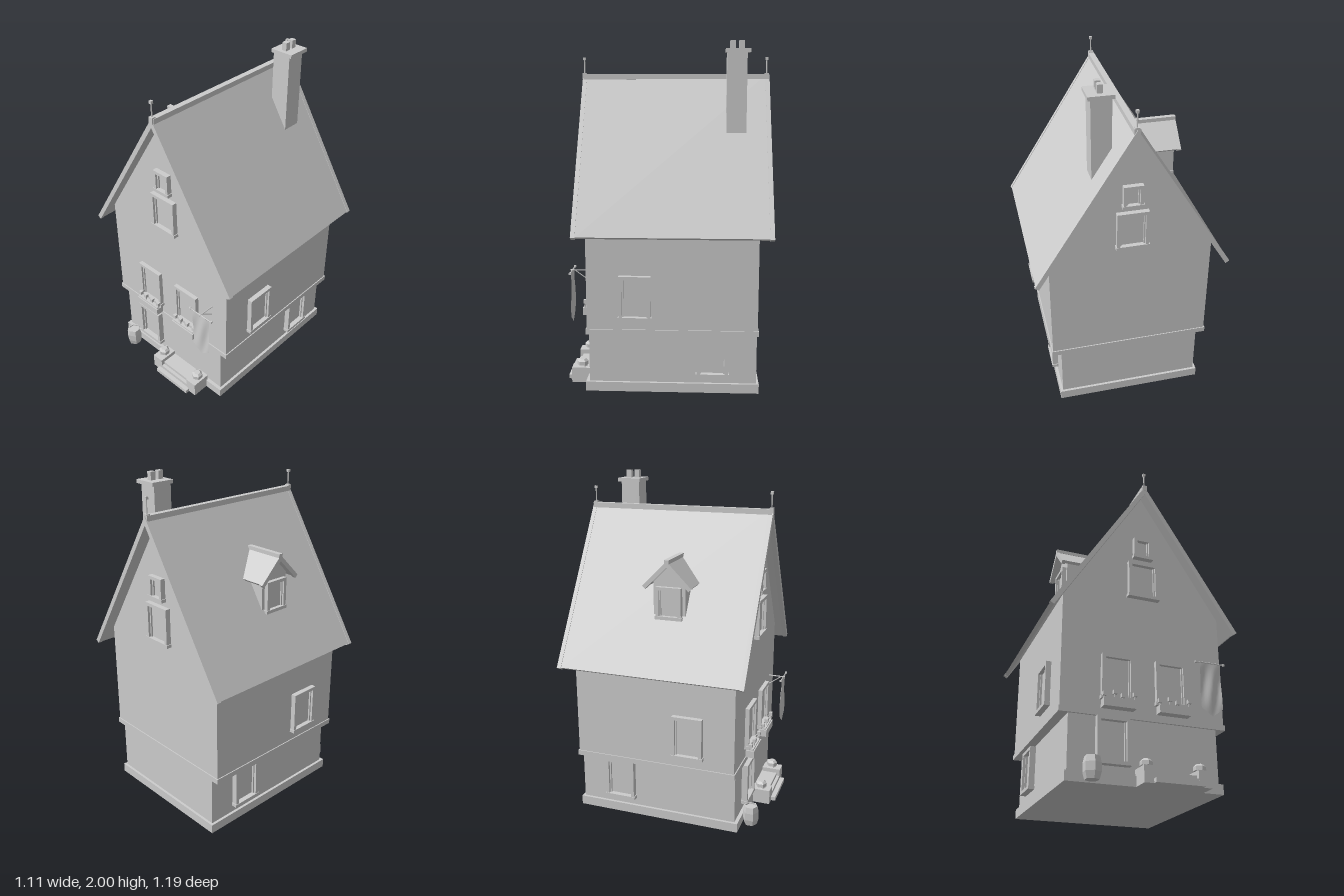
import * as THREE from 'three';

export function createModel() {
  const house = new THREE.Group();
  house.name = 'house';
  const stone = new THREE.MeshStandardMaterial({ color: 0xcccccc });
  stone.name = 'light grey';
  const cloth = new THREE.MeshStandardMaterial({ color: 0xcccccc, side: THREE.DoubleSide });
  cloth.name = 'light grey cloth';

  const add = (parent, name, geo, mat = stone) => {
    const m = new THREE.Mesh(geo, mat);
    m.name = name;
    parent.add(m);
    return m;
  };
  // Box given by its min and max on each axis
  const box = (parent, name, x0, x1, y0, y1, z0, z1) => {
    const g = new THREE.BoxGeometry(x1 - x0, y1 - y0, z1 - z0);
    return add(parent, name, g.translate((x0 + x1) / 2, (y0 + y1) / 2, (z0 + z1) / 2));
  };
  // Outline in x,y extruded from z0 to z1
  const prism = (pts, z0, z1) => new THREE.ExtrudeGeometry(
    new THREE.Shape(pts.map(p => new THREE.Vector2(p[0], p[1]))),
    { depth: z1 - z0, bevelEnabled: false }).translate(0, 0, z0);
  // Inverted V: half width, outer ridge and eave heights, vertical thickness
  const chevron = (w, ridge, eave, t) => {
    const s = (ridge - eave) / w, d = t * s / (1 + s * s); // square-cut eave ends
    const xi = w - d, yi = ridge - t - s * xi;
    return [[-w, eave], [-xi, yi], [0, ridge - t], [xi, yi], [w, eave], [0, ridge]];
  };

  // Walls
  box(house, 'plinth', -0.434, 0.434, 0, 0.055, -0.535, 0.463);
  box(house, 'lowerWalls', -0.418, 0.418, 0.05, 0.37, -0.52, 0.442);
  box(house, 'beltCourse', -0.472, 0.472, 0.355, 0.386, -0.526, 0.453);
  add(house, 'upperWalls', prism(
    [[-0.466, 0.36], [0.466, 0.36], [0.466, 1.03], [0, 1.772], [-0.466, 1.03]], -0.52, 0.447));

  // Main roof with gable boards, ridge and finials
  add(house, 'roof', prism(chevron(0.55, 1.808, 0.933, 0.042), -0.57, 0.49));
  for (const z of [-0.595, 0.49])
    add(house, 'gableBoard', prism(chevron(0.555, 1.812, 0.931, 0.05), z, z + 0.025));
  box(house, 'ridge', -0.017, 0.017, 1.785, 1.815, -0.59, 0.51);
  for (const z of [-0.578, 0.505]) {
    const f = new THREE.Group();
    f.name = 'finial';
    f.position.z = z;
    house.add(f);
    box(f, 'finialBase', -0.013, 0.013, 1.785, 1.822, -0.012, 0.012);
    add(f, 'finialRod', new THREE.CylinderGeometry(0.004, 0.004, 0.09, 6).translate(0, 1.86, 0));
    box(f, 'finialTip', -0.008, 0.008, 1.897, 1.913, -0.008, 0.008);
  }

  // Chimney
  box(house, 'chimney', 0.095, 0.206, 1.47, 1.935, -0.452, -0.338);
  box(house, 'chimneyCap', 0.083, 0.224, 1.933, 1.954, -0.471, -0.33);
  for (const z of [-0.438, -0.386])
    box(house, 'chimneyPot', 0.138, 0.168, 1.95, 2, z, z + 0.032);

  // Framed window facing +z in its own group, origin at bottom centre
  const windowAt = (w, h, d, x, y, z, turn = 0) => {
    const g = new THREE.Group();
    g.name = 'window';
    g.position.set(x, y, z);
    g.rotation.y = turn;
    house.add(g);
    const a = w / 2, j = a - 0.005, t = 0.019;
    box(g, 'sill', -a, a, 0, t, -0.01, d + 0.003);
    box(g, 'lintel', -j, j, h - t, h, -0.01, d);
    for (const s of [-1, 1]) {
      box(g, 'jamb', s * (j - t / 2) - t / 2, s * (j - t / 2) + t / 2, t, h - t, -0.01, d);
      box(g, 'sash', s * (j - t - 0.004) - 0.004, s * (j - t - 0.004) + 0.004, t, h - t, -0.01, d * 0.55);
    }
    box(g, 'pane', -j + t, j - t, t, h - t, -0.01, d * 0.2);
  };
  const H = Math.PI / 2;
  windowAt(0.19, 0.25, 0.036, -0.181, 0.1, 0.442);
  for (const x of [-0.156, 0.153]) windowAt(0.19, 0.255, 0.025, x, 0.445, 0.447);
  for (const [z, turn] of [[0.447, 0], [-0.52, Math.PI]]) {
    windowAt(0.19, 0.228, 0.03, 0, 1.074, z, turn);
    windowAt(0.12, 0.134, 0.03, 0, 1.333, z, turn);
  }
  for (const s of [-1, 1]) {
    windowAt(0.19, 0.255, 0.03, s * 0.466, 0.445, 0.172, s * H);
    windowAt(0.19, 0.25, 0.034, s * 0.418, 0.1, -0.267, s * H);
  }

  // Dormer on the right slope, profile turned to face -x
  const dormer = new THREE.Group();
  dormer.name = 'dormer';
  dormer.position.z = 0.024;
  house.add(dormer);
  add(dormer, 'dormerBody', prism(
    [[-0.095, 1.17], [0.095, 1.17], [0.095, 1.435], [0, 1.53], [-0.095, 1.435]], 0.17, 0.352).rotateY(-H));
  add(dormer, 'dormerRoof', prism(chevron(0.14, 1.557, 1.418, 0.024), 0.155, 0.38).rotateY(-H));
  add(dormer, 'dormerGableBoard', prism(chevron(0.144, 1.56, 1.416, 0.034), 0.376, 0.398).rotateY(-H));
  box(dormer, 'dormerRidge', -0.398, -0.154, 1.545, 1.567, -0.014, 0.014);
  windowAt(0.16, 0.185, 0.025, -0.352, 1.225, 0.024, -H);

  // Flower boxes under the upper front windows
  for (const x of [-0.157, 0.155]) {
    const g = new THREE.Group();
    g.name = 'flowerBox';
    g.position.set(x, 0, 0);
    house.add(g);
    box(g, 'trough', -0.09, 0.09, 0.395, 0.438, 0.455, 0.505);
    box(g, 'leaves', -0.082, 0.082, 0.436, 0.446, 0.465, 0.498);
    [-0.08, -0.025, 0.022, 0.088].forEach((fx, i) => {
      const y = 0.455 + (i % 2) * 0.012, z = 0.482 + (i % 2) * 0.008;
      box(g, 'stem', fx - 0.003, fx + 0.003, 0.435, y + 0.005, z - 0.003, z + 0.003);
      box(g, 'flower', fx - 0.01, fx + 0.01, y, y + 0.022, z - 0.01, z + 0.01);
    });
  }

  // Banner hanging from a bracket
  const rod = (name, a, b, r) => {
    const p = new THREE.Vector3(...a), q = new THREE.Vector3(...b);
    const m = add(house, name, new THREE.CylinderGeometry(r, r, p.distanceTo(q), 6));
    m.position.copy(p).add(q).multiplyScalar(0.5);
    m.quaternion.setFromUnitVectors(new THREE.Vector3(0, 1, 0), q.sub(p).normalize());
  };
  rod('bannerPole', [0.27, 0.7, 0.541], [0.437, 0.7, 0.541], 0.004);
  for (const x of [0.27, 0.437]) box(house, 'poleEnd', x - 0.005, x + 0.005, 0.694, 0.706, 0.535, 0.547);
  rod('bracketArm', [0.353, 0.7, 0.44], [0.353, 0.7, 0.552], 0.004);
  rod('bracketStrut', [0.353, 0.64, 0.445], [0.353, 0.698, 0.525], 0.003);
  const banner = new THREE.PlaneGeometry(0.126, 1, 10, 12);
  const bp = banner.attributes.position;
  for (let i = 0; i < bp.count; i++) {
    const x = bp.getX(i), v = 0.5 - bp.getY(i);
    const len = 0.305 - 0.045 * Math.abs(x) / 0.063;
    bp.setXYZ(i, x + 0.354, 0.698 - v * len, 0.541 + 0.007 * Math.sin(v * Math.PI) * Math.sin(x * 70 + v * 3));
  }
  banner.computeVertexNormals();
  add(house, 'banner', banner, cloth);

  // Front steps between two posts with hexagonal lamps
  box(house, 'lowerStep', -0.006, 0.263, 0, 0.024, 0.45, 0.593);
  box(house, 'upperStep', 0.01, 0.25, 0, 0.045, 0.45, 0.565);
  box(house, 'landing', 0.014, 0.246, 0, 0.064, 0.45, 0.545);
  for (const x of [-0.021, 0.277]) {
    box(house, 'stepPost', x - 0.037, x + 0.037, 0, 0.09, 0.45, 0.566);
    const lamp = new THREE.Group();
    lamp.name = 'postLamp';
    lamp.position.set(x, 0, 0.505);
    house.add(lamp);
    [[0.022, 0.03, 0.088, 0.1], [0.034, 0.034, 0.1, 0.122], [0.02, 0.034, 0.122, 0.135]].forEach(([rt, rb, y0, y1]) =>
      add(lamp, 'lampTier', new THREE.CylinderGeometry(rt, rb, y1 - y0, 6).toNonIndexed().translate(0, (y0 + y1) / 2, 0))
        .geometry.computeVertexNormals());
  }

  // Six-sided barrel beside the wall
  const barrel = new THREE.LatheGeometry(
    [[0, 0.003], [0.038, 0.003], [0.048, 0.04], [0.048, 0.085], [0.04, 0.12], [0.034, 0.12], [0.034, 0.112], [0, 0.112]]
      .map(p => new THREE.Vector2(p[0], p[1])), 6).toNonIndexed();
  barrel.computeVertexNormals();
  add(house, 'barrel', barrel).position.set(-0.309, 0, 0.512);

  return house;
}
